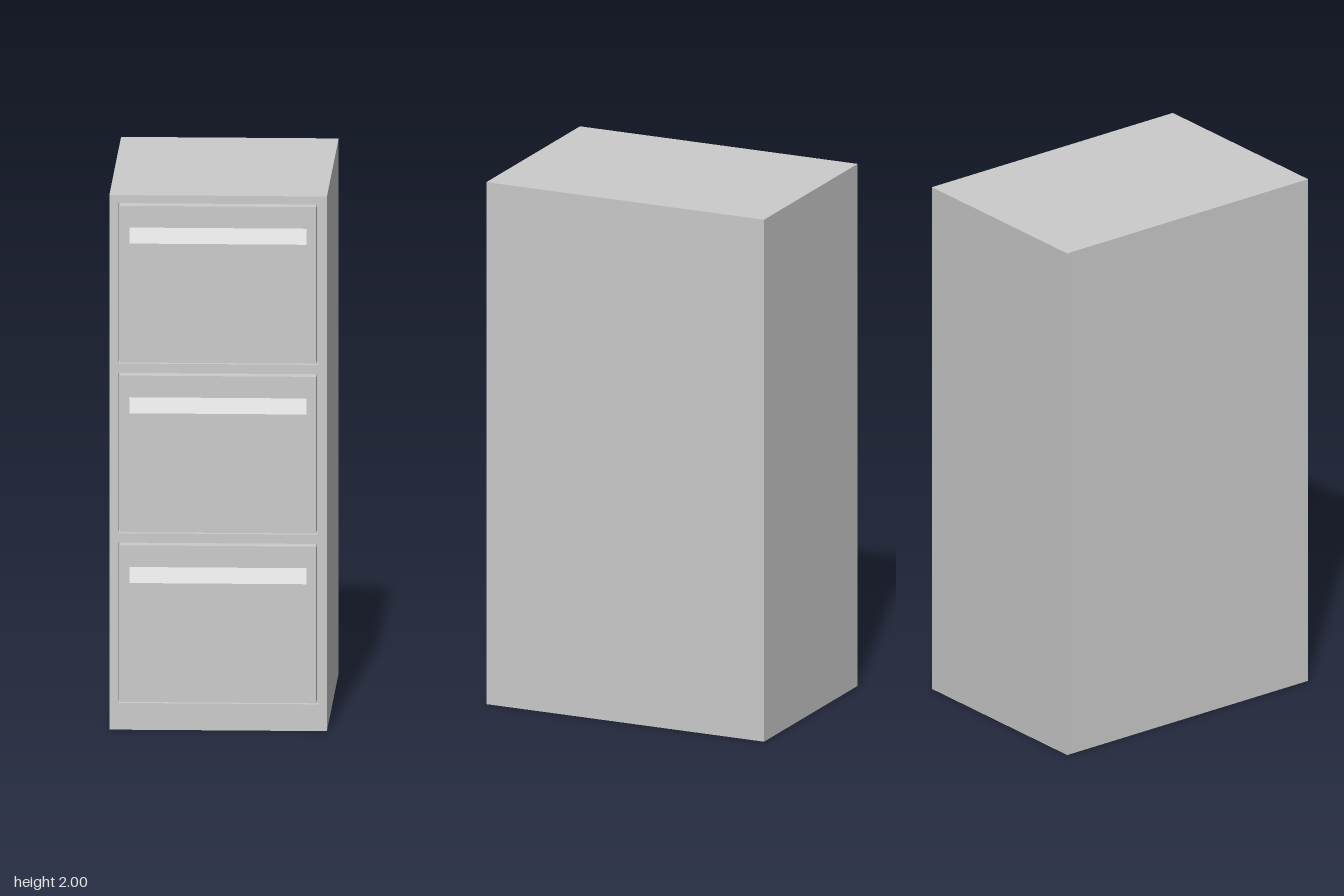
import * as THREE from 'three';

const W = 0.8, H = 2, BACK = -0.573, FACE = 0.557; // cabinet size and front plane
const RECESS = 0.06, PROUD = 0.016, GAP = 0.007;   // drawer fit
const OPEN_W = 0.736, OPEN_H = 0.6;                // drawer opening
const BOTTOMS = [0.1, 0.735, 1.37];                // bottom of each opening
const PULL = { w: 0.652, y0: 0.452, y1: 0.512, depth: 0.04 };

function rect(Type, w, y0, y1) {
  return new Type([
    new THREE.Vector2(-w / 2, y0), new THREE.Vector2(w / 2, y0),
    new THREE.Vector2(w / 2, y1), new THREE.Vector2(-w / 2, y1),
  ]);
}

function extrude(shape, depth) {
  return new THREE.ExtrudeGeometry(shape, { depth, bevelEnabled: false });
}

export function createModel() {
  const model = new THREE.Group();
  model.name = 'filingCabinet';
  const material = new THREE.MeshStandardMaterial({ color: 0xcccccc });
  const add = (parent, name, geometry) => {
    const mesh = new THREE.Mesh(geometry, material);
    mesh.name = name;
    parent.add(mesh);
    return mesh;
  };

  // Solid carcass behind the drawer fronts
  const depth = FACE - RECESS - BACK;
  add(model, 'carcass', new THREE.BoxGeometry(W, H, depth).translate(0, H / 2, BACK + depth / 2));

  // Front frame with three openings
  const frame = rect(THREE.Shape, W, 0, H);
  for (const y of BOTTOMS) frame.holes.push(rect(THREE.Path, OPEN_W, y, y + OPEN_H));
  add(model, 'frontFrame', extrude(frame, RECESS).translate(0, 0, FACE - RECESS));

  // Drawer front with a slot cut for the pull
  const panel = rect(THREE.Shape, OPEN_W - 2 * GAP, GAP, OPEN_H - GAP);
  panel.holes.push(rect(THREE.Path, PULL.w, PULL.y0, PULL.y1));
  const panelGeometry = extrude(panel, RECESS + PROUD).translate(0, 0, -RECESS);

  // Sloping pull surface: flush at the bottom of the slot, deepest at the top
  const wedge = new THREE.Shape([
    new THREE.Vector2(PROUD - PULL.depth, PULL.y0),
    new THREE.Vector2(PROUD, PULL.y0),
    new THREE.Vector2(PROUD - PULL.depth, PULL.y1),
  ]);
  const pullGeometry = extrude(wedge, PULL.w).rotateY(-Math.PI / 2).translate(PULL.w / 2, 0, 0);

  BOTTOMS.forEach((y) => {
    const drawer = new THREE.Group();
    drawer.name = 'drawer';
    drawer.position.set(0, y, FACE);
    add(drawer, 'drawerFront', panelGeometry);
    add(drawer, 'recessedPull', pullGeometry);
    model.add(drawer);
  });

  return model;
}
